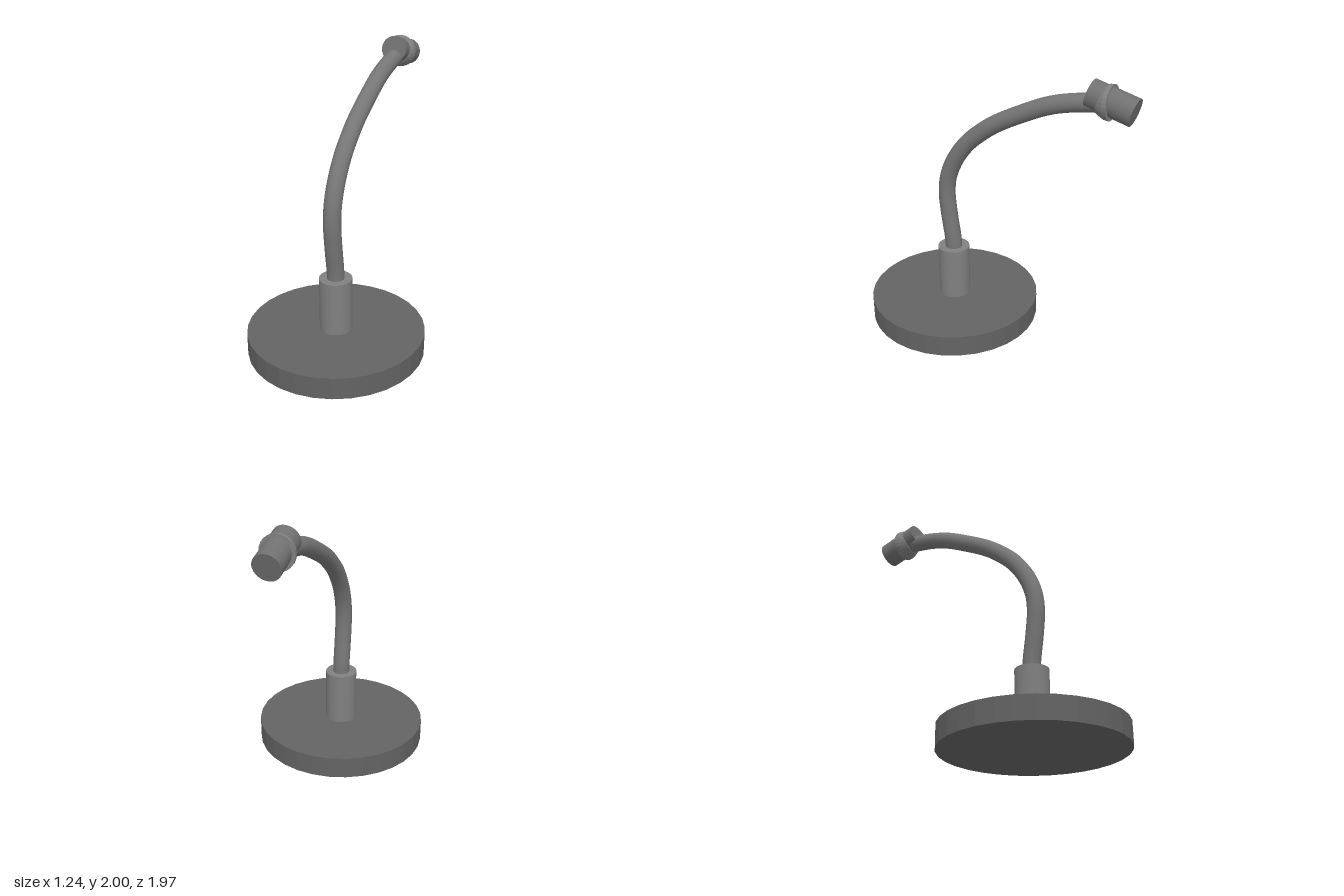
import * as THREE from 'three';

const BASE_Z = 0.36;
const TILT = THREE.MathUtils.degToRad(15);

function part(name, color, geometry, options = {}) {
  const material = new THREE.MeshStandardMaterial({ color, ...options });
  const mesh = new THREE.Mesh(geometry, material);
  mesh.name = name;
  return mesh;
}

export function createModel() {
  const model = new THREE.Group();
  model.name = 'gooseneckLamp';

  // Heavy round foot
  const base = part('base', 0x636363, new THREE.CylinderGeometry(0.622, 0.622, 0.157, 32), { flatShading: true });
  base.position.set(0, 0.0785, BASE_Z);

  // Socket that holds the neck
  const socket = part('socket', 0x808080, new THREE.CylinderGeometry(0.115, 0.115, 0.395, 32));
  socket.position.set(0, 0.3475, BASE_Z);

  // Bent neck, as [y, z] points in the middle plane
  const path = new THREE.CatmullRomCurve3([
    [0.5, 0.358], [0.6, 0.362], [0.8, 0.39], [0.97, 0.405], [1.1, 0.39], [1.24, 0.335], [1.39, 0.23],
    [1.5, 0.11], [1.58, 0], [1.685, -0.19], [1.775, -0.38], [1.825, -0.55], [1.86, -0.76],
  ].map(([y, z]) => new THREE.Vector3(0, y, z)));
  const neck = part('neck', 0x767676, new THREE.TubeGeometry(path, 64, 0.061, 20), { side: THREE.DoubleSide });

  // Tilted cylindrical head
  const head = part('head', 0x707070, new THREE.CylinderGeometry(0.093, 0.093, 0.31, 32));
  head.position.set(0, 1.872, -0.812);
  head.rotation.x = -Math.PI / 2 - TILT;

  // Flared collar around the head: [radius, distance backwards]
  const profile = [[0.05, 0], [0.085, 0.02], [0.099, 0.045], [0.113, 0.075], [0.116, 0.105], [0.06, 0.105]]
    .map(([r, d]) => new THREE.Vector2(r, d));
  const collar = part('collar', 0x808080, new THREE.LatheGeometry(profile, 24), {
    flatShading: true, side: THREE.DoubleSide,
  });
  collar.position.set(0, 1.87, -0.705);
  collar.rotation.x = -Math.PI / 2;

  model.add(base, socket, neck, head, collar);
  return model;
}
